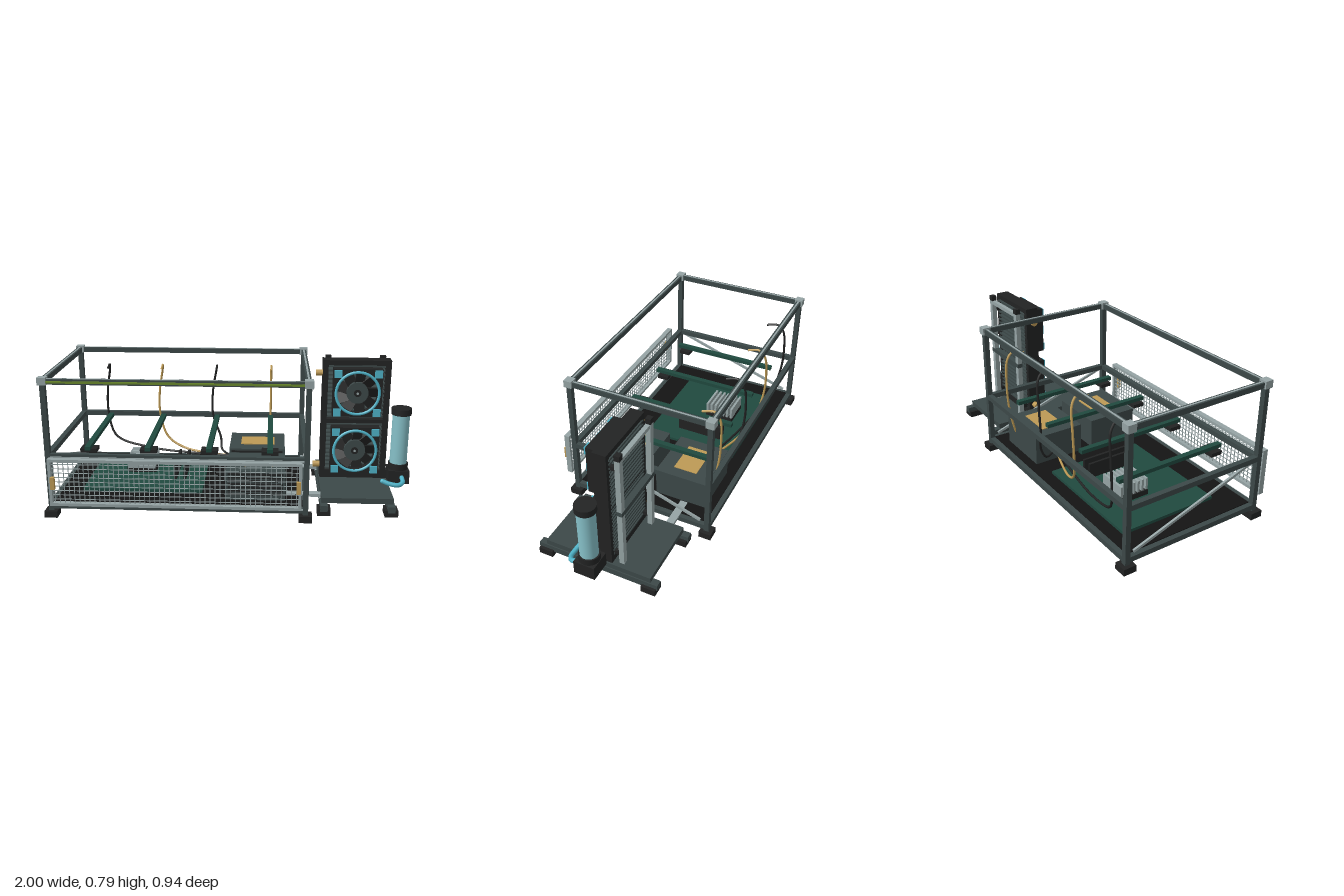
import * as THREE from 'three';

const paint = (name, color) => {
  const m = new THREE.MeshStandardMaterial({ color });
  m.name = name;
  return m;
};

export function createModel() {
  const slate = paint('slate', 0x3c4848), black = paint('black', 0x222323), floorBlack = paint('floor black', 0x141414);
  const green = paint('board green', 0x20493f), grey = paint('light grey', 0x95a3a4), cyan = paint('cyan', 0x4fb3c8);
  const pale = paint('pale cyan', 0x86c0c8), gold = paint('gold', 0xbd9a55), olive = paint('olive', 0x6b8a2c);

  const root = new THREE.Group();
  root.name = 'machine';
  const group = (name) => {
    const g = new THREE.Group();
    g.name = name;
    root.add(g);
    return g;
  };
  const put = (g, name, geo, mat, x = 0, y = 0, z = 0) => {
    const m = new THREE.Mesh(geo, mat);
    m.name = name;
    m.position.set(x, y, z);
    g.add(m);
    return m;
  };
  // Box given by its limits on each axis
  const box = (g, name, mat, x0, x1, y0, y1, z0, z1) =>
    put(g, name, new THREE.BoxGeometry(x1 - x0, y1 - y0, z1 - z0), mat, (x0 + x1) / 2, (y0 + y1) / 2, (z0 + z1) / 2);
  const tube = (g, name, mat, pts, r) =>
    put(g, name, new THREE.TubeGeometry(new THREE.CatmullRomCurve3(pts.map((p) => new THREE.Vector3(...p))), 48, r, 8), mat);

  // Open frame: posts, feet, corner blocks and three levels of rails
  const frame = group('frame');
  const L = -0.965, R = 0.4, F = 0.367, B = -0.432, h = 0.014;
  for (const x of [L, R]) for (const z of [F, B]) {
    box(frame, 'foot', black, x - 0.035, x + 0.035, 0, 0.036, z - 0.035, z + 0.035);
    box(frame, 'post', slate, x - h, x + h, 0.036, 0.74, z - h, z + h);
    box(frame, 'cornerBlock', grey, x - 0.023, x + 0.023, 0.731, 0.771, z - 0.023, z + 0.023);
  }
  for (const y of [0.06, 0.343, 0.748]) {
    for (const z of [F, B]) box(frame, 'longRail', slate, L + h, R - h, y - h, y + h, z - h, z + h);
    for (const x of [L, R]) box(frame, 'crossRail', slate, x - h, x + h, y - h, y + h, B + h, F - h);
  }
  // Slot strips on the rails
  for (const z of [F, B]) box(frame, 'topSlot', grey, L + 0.023, R - 0.023, 0.762, 0.764, z - 0.005, z + 0.005);
  for (const x of [L, R]) box(frame, 'topSlot', grey, x - 0.005, x + 0.005, 0.762, 0.764, B + 0.023, F - 0.023);
  box(frame, 'lightStrip', olive, L + 0.023, R - 0.023, 0.742, 0.753, F + h, F + h + 0.007);
  for (const y of [0.068, 0.338]) box(frame, 'frontSlot', grey, L + h, R - h, y - 0.005, y + 0.005, F + h, F + h + 0.005);
  box(frame, 'floorPanel', floorBlack, L + h, R - h, 0.05, 0.078, B + h, F - h);

  // Diagonal end braces
  const run = Math.hypot(0.72, 0.24);
  for (const x of [L, R]) {
    const b = put(frame, 'brace', new THREE.BoxGeometry(0.012, 0.014, run), grey, x, 0.21, -0.03);
    b.rotation.x = -Math.atan2(0.24, 0.72);
  }

  // Mesh guard standing off the front
  const guard = group('frontGuard');
  const gl = -0.948, gr = 0.374;
  for (const y of [0.101, 0.345]) box(guard, 'guardRail', grey, gl, gr, y - 0.008, y + 0.008, 0.425, 0.455);
  for (const x of [gl, gr - 0.016]) box(guard, 'guardStile', grey, x, x + 0.016, 0.109, 0.337, 0.425, 0.455);
  for (let i = 1; i < 50; i++) {
    const x = gl + ((gr - gl) * i) / 50;
    box(guard, 'meshWire', grey, x - 0.0018, x + 0.0018, 0.105, 0.342, 0.438, 0.442);
  }
  for (let i = 1; i < 10; i++) {
    const y = 0.101 + 0.0244 * i;
    box(guard, 'meshWire', grey, gl, gr, y - 0.0018, y + 0.0018, 0.434, 0.438);
  }
  for (const x of [-0.925, 0.357]) box(guard, 'latch', gold, x - 0.011, x + 0.011, 0.19, 0.257, 0.448, 0.468);

  // Circuit board with heat sink and memory sticks
  const board = group('circuitBoard');
  box(board, 'board', green, -0.83, -0.165, 0.08, 0.096, -0.35, 0.21);
  box(board, 'heatSinkBase', black, -0.63, -0.46, 0.096, 0.125, -0.22, -0.05);
  for (let i = 0; i < 7; i++) {
    const z = -0.22 + i * 0.0262;
    box(board, 'heatSinkFin', grey, -0.625, -0.465, 0.12, 0.19, z, z + 0.013);
  }
  for (const x of [-0.333, -0.28]) box(board, 'memoryStick', black, x - 0.007, x + 0.007, 0.096, 0.182, -0.22, 0.05);

  // Support bars and cables
  const cables = group('barsAndCables');
  [-0.775, -0.45, -0.12, 0.207].forEach((x, i) => {
    box(cables, 'supportBar', green, x - 0.015, x + 0.015, 0.346, 0.367, -0.35, 0.285);
    box(cables, 'barPad', black, x - 0.045, x + 0.045, 0.326, 0.347, 0.195, 0.262);
    const last = i === 3, d = last ? 0 : 1;
    const path = [[x, 0.655, -0.3], [x, 0.671, -0.37], [x - 0.008 * d, 0.63, -0.402], [x - 0.03 * d, 0.5, -0.412],
      [x - 0.03 * d, 0.35, -0.405], [x + 0.02 * d, 0.21, -0.378]];
    if (last) path.push([x + 0.008, 0.16, -0.358]);
    else path.push([x + (-0.03 - x) * 0.3, 0.15, -0.345], [x + (-0.03 - x) * 0.7, 0.135, -0.29], [-0.025, 0.14, -0.24]);
    tube(cables, 'cable', i % 2 ? gold : black, path, 0.0065);
  });

  // Two power units with labels and grilles
  const power = group('powerUnits');
  for (const [z0, z1] of [[-0.37, -0.075], [-0.005, 0.29]]) {
    box(power, 'powerUnit', slate, -0.03, 0.293, 0.078, 0.243, z0, z1);
    const c = (z0 + z1) / 2;
    box(power, 'label', gold, 0.035, 0.233, 0.243, 0.247, c - 0.067, c + 0.067);
    for (let i = 0; i < 7; i++) {
      const y = 0.11 + i * 0.019;
      box(power, 'grilleSlat', black, -0.018, 0.28, y, y + 0.009, z1, z1 + 0.008);
    }
  }

  // Cooler base with skids, feet and link arms
  const base = group('coolerBase');
  box(base, 'basePlate', slate, 0.49, 0.88, 0.06, 0.09, -0.335, 0.267);
  for (const x of [0.503, 0.866]) {
    box(base, 'skid', slate, x - 0.02, x + 0.02, 0.025, 0.06, -0.375, 0.31);
    for (const z of [0.265, -0.33]) box(base, 'foot', black, x - 0.036, x + 0.036, 0, 0.036, z - 0.04, z + 0.04);
  }
  for (const z of [0.178, -0.25]) {
    box(base, 'linkArm', grey, 0.3, 0.5, 0.066, 0.082, z - 0.021, z + 0.021);
    box(base, 'linkTongue', grey, 0.48, 0.665, 0.054, 0.061, z - 0.021, z + 0.021);
  }

  // Radiator: open frame, slats, rear stand
  const rad = group('radiator');
  const cx = 0.684;
  for (const [x0, x1] of [[0.495, 0.525], [0.842, 0.872]]) box(rad, 'radiatorSide', black, x0, x1, 0.09, 0.783, -0.1175, -0.0425);
  for (const [y0, y1] of [[0.755, 0.783], [0.42, 0.442], [0.09, 0.135]]) box(rad, 'radiatorBar', black, 0.525, 0.842, y0, y1, -0.1175, -0.0425);
  for (let i = 0; i < 26; i++) {
    const y = 0.14 + i * 0.0242;
    box(rad, 'slat', slate, 0.515, 0.852, y - 0.005, y + 0.005, -0.122, -0.06);
  }
  for (const x of [0.53, 0.838]) {
    box(rad, 'standPost', grey, x - 0.015, x + 0.015, 0.075, 0.757, -0.176, -0.148);
    box(rad, 'standCap', black, x - 0.016, x + 0.016, 0.757, 0.787, -0.177, -0.147);
    for (const y of [0.7, 0.15]) box(rad, 'standTab', black, x - 0.01, x + 0.01, y - 0.012, y + 0.012, -0.148, -0.117);
  }
  box(rad, 'standTopBar', grey, 0.545, 0.823, 0.735, 0.757, -0.174, -0.15);
  box(rad, 'standMidBar', slate, 0.514, 0.854, 0.416, 0.441, -0.178, -0.146);
  for (const y of [0.703, 0.157]) {
    put(rad, 'fitting', new THREE.CylinderGeometry(0.018, 0.018, 0.04, 16), gold, 0.478, y, -0.083).rotation.z = Math.PI / 2;
  }

  // Two fans: square housing with a round opening, ring, blades, hub
  const s = 0.135;
  const housing = new THREE.Shape([[-s, -s], [s, -s], [s, s], [-s, s]].map((p) => new THREE.Vector2(...p)));
  housing.holes.push(new THREE.Path().absarc(0, 0, 0.117, 0, Math.PI * 2, true));
  const housingGeo = new THREE.ExtrudeGeometry(housing, { depth: 0.058, bevelEnabled: false, curveSegments: 32 });
  for (const y of [0.613, 0.278]) {
    const fan = group('fan');
    fan.position.set(cx, y, -0.035);
    put(fan, 'fanHousing', housingGeo, black);
    put(fan, 'fanRing', new THREE.TorusGeometry(0.119, 0.008, 8, 48), cyan, 0, 0, 0.062);
    for (const sx of [-1, 1]) for (const sy of [-1, 1]) {
      put(fan, 'cornerPad', new THREE.BoxGeometry(0.042, 0.042, 0.012), cyan, sx * 0.11, sy * 0.11, 0.062);
    }
    for (let i = 0; i < 9; i++) {
      const a = (i / 9) * Math.PI * 2;
      const blade = put(fan, 'blade', new THREE.BoxGeometry(0.065, 0.062, 0.006), black, Math.cos(a) * 0.08, Math.sin(a) * 0.08, 0.028);
      blade.rotation.set(0, 0, a);
      blade.rotateX(0.45);
    }
    const disc = (name, r, d, mat, z) => {
      put(fan, name, new THREE.CylinderGeometry(r, r, d, 32), mat, 0, 0, z).rotation.x = Math.PI / 2;
    };
    disc('hub', 0.06, 0.05, slate, 0.03);
    disc('hubCap', 0.02, 0.01, black, 0.056);
    disc('hubPin', 0.007, 0.012, grey, 0.057);
  }

  // Reservoir, pump and hose
  const pump = group('reservoirPump');
  const px = 0.941, pz = -0.032;
  put(pump, 'reservoir', new THREE.CylinderGeometry(0.048, 0.048, 0.3, 32), pale, px, 0.339, pz);
  for (const y of [0.5, 0.177]) put(pump, 'reservoirCap', new THREE.CylinderGeometry(0.056, 0.056, 0.036, 32), black, px, y, pz);
  box(pump, 'pumpBody', black, 0.882, 1, 0.083, 0.16, -0.09, 0.0275);
  box(pump, 'pumpBracket', black, 0.86, 0.9, 0.09, 0.14, -0.08, -0.045);
  tube(pump, 'hose', cyan, [[0.957, 0.125, 0.02], [0.957, 0.108, 0.065], [0.93, 0.1, 0.088], [0.885, 0.105, 0.087], [0.842, 0.118, 0.078]], 0.013);
  put(pump, 'hoseEnd', new THREE.SphereGeometry(0.013, 12, 8), cyan, 0.842, 0.118, 0.078);

  return root;
}
